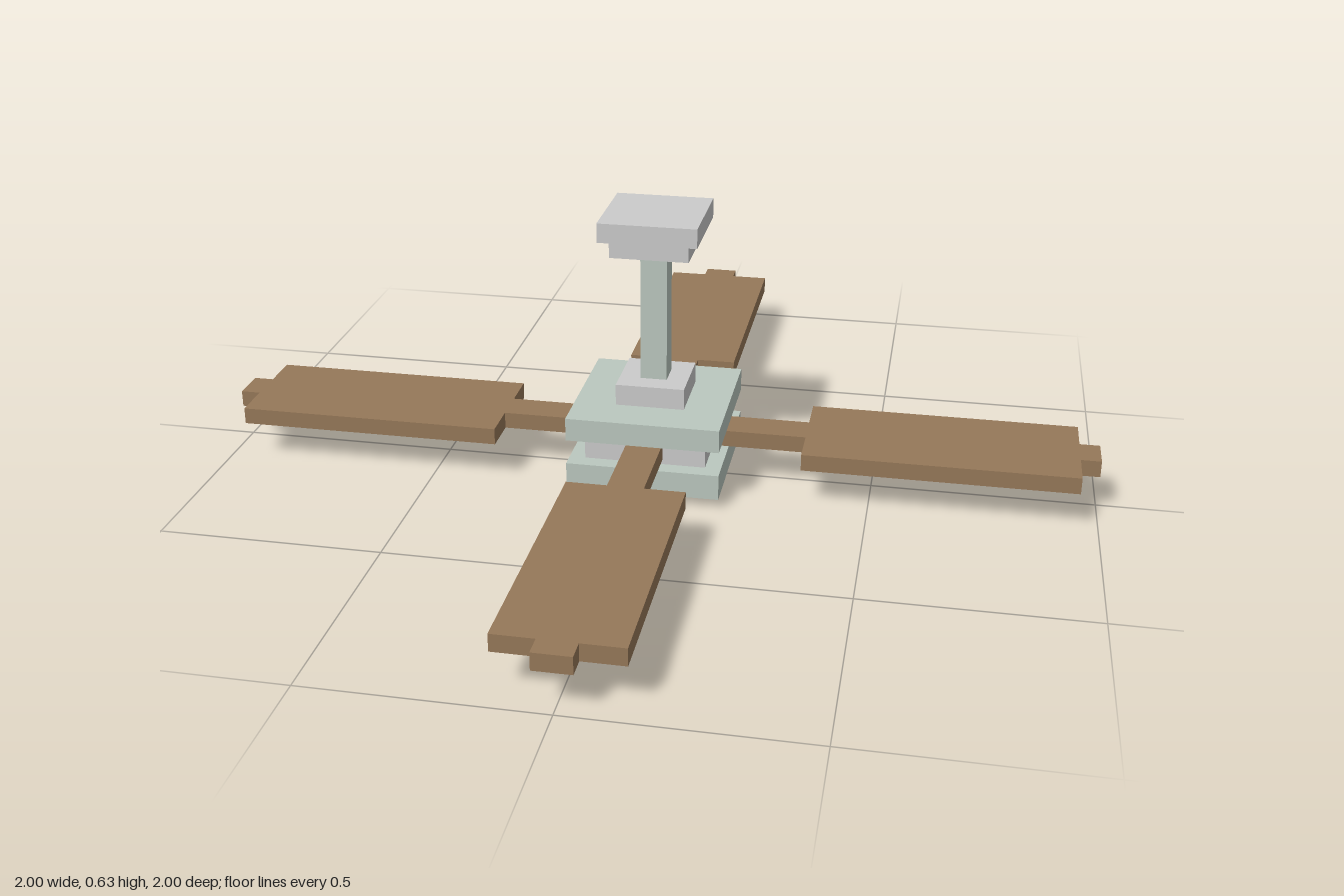
import * as THREE from 'three';

export function createModel() {
  const fan = new THREE.Group();
  fan.name = 'ceilingFan';

  const grey = new THREE.MeshStandardMaterial({ color: 0xcccccc });
  const sage = new THREE.MeshStandardMaterial({ color: 0xbbc8bf });
  const wood = new THREE.MeshStandardMaterial({ color: 0x967859 });

  // Square blocks stacked on the central axis: name, half width, bottom, top, material
  const blocks = [
    ['bottomCap', 0.127, 0, 0.021, grey],
    ['lowerHousing', 0.173, 0.021, 0.08, sage],
    ['motorCore', 0.137, 0.08, 0.137, grey],
    ['upperHousing', 0.173, 0.137, 0.19, sage],
    ['rodCollar', 0.078, 0.19, 0.239, grey],
    ['downRod', 0.03, 0.239, 0.545, sage],
    ['canopyStep', 0.088, 0.545, 0.586, grey],
    ['ceilingCanopy', 0.11, 0.586, 0.63, grey],
  ];
  for (const [name, half, bottom, top, material] of blocks) {
    const mesh = new THREE.Mesh(new THREE.BoxGeometry(half * 2, top - bottom, half * 2), material);
    mesh.name = name;
    mesh.position.y = (bottom + top) / 2;
    fan.add(mesh);
  }

  // Blade outline: narrow arm, wide paddle, narrow tip (mirrored about its long axis)
  const side = [[0.1, 0.04], [0.35, 0.04], [0.35, 0.13], [0.955, 0.13], [0.955, 0.04], [1, 0.04]];
  const outline = [
    ...side.map(([x, w]) => new THREE.Vector2(x, -w)),
    ...[...side].reverse().map(([x, w]) => new THREE.Vector2(x, w)),
  ];
  const bladeGeometry = new THREE.ExtrudeGeometry(new THREE.Shape(outline), { depth: 0.038, bevelEnabled: false });
  bladeGeometry.rotateX(-Math.PI / 2);

  // Four blades around the motor
  const blades = new THREE.Group();
  blades.name = 'blades';
  for (let i = 0; i < 4; i++) {
    const blade = new THREE.Mesh(bladeGeometry, wood);
    blade.name = 'blade' + (i + 1);
    blade.position.y = 0.09;
    blade.rotation.y = (i * Math.PI) / 2;
    blades.add(blade);
  }
  fan.add(blades);

  return fan;
}
